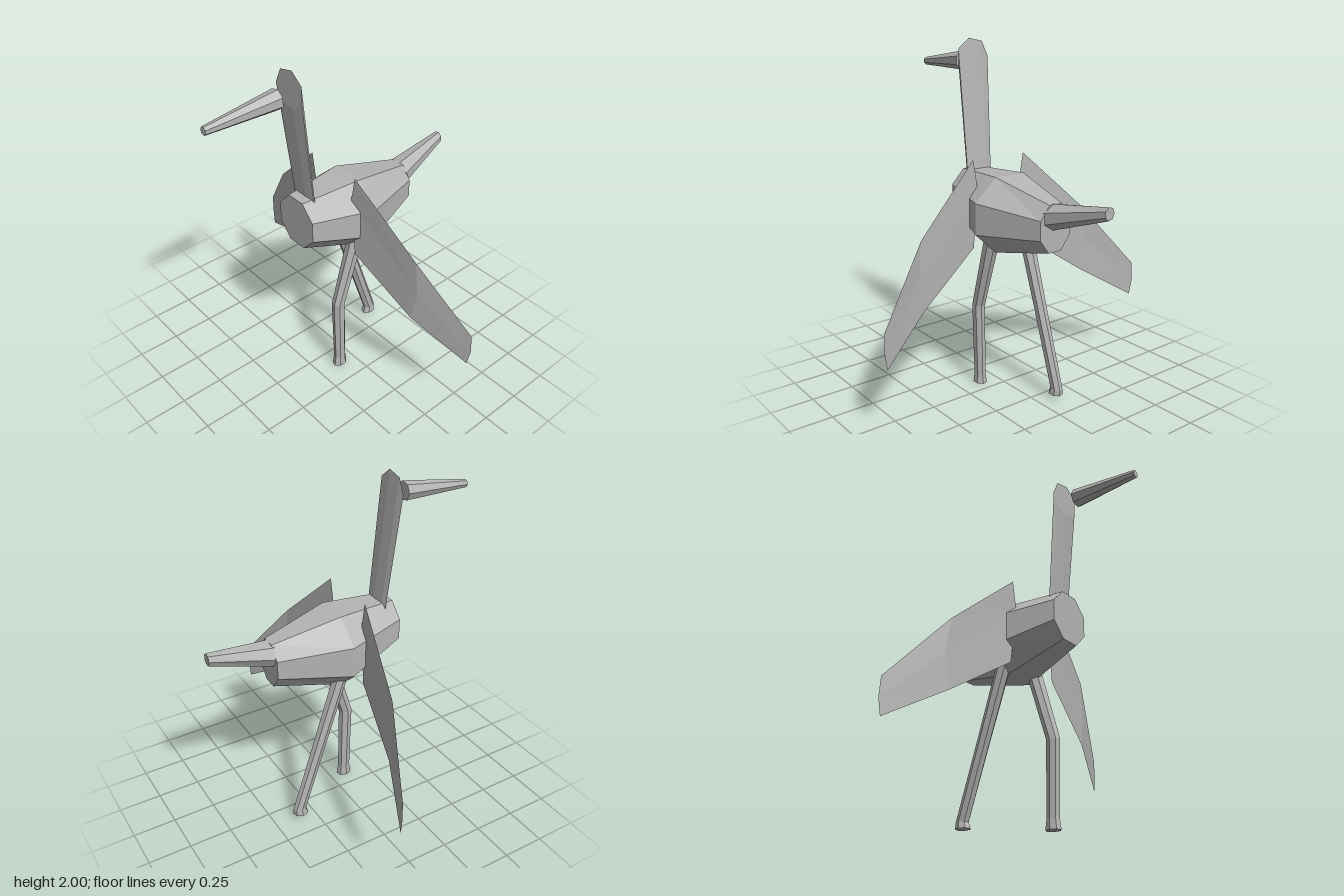
import * as THREE from 'three';

const grey = new THREE.MeshStandardMaterial({ color: 0xb4b4b4, side: THREE.DoubleSide });
grey.name = 'plainGrey';

// Flat-faced geometry from a list of polygons (each fanned into triangles)
function faceted(polygons) {
  const pos = [];
  for (const p of polygons)
    for (let i = 1; i < p.length - 1; i++) pos.push(...p[0], ...p[i], ...p[i + 1]);
  const g = new THREE.BufferGeometry();
  g.setAttribute('position', new THREE.Float32BufferAttribute(pos, 3));
  g.computeVertexNormals();
  return g;
}

// Capped tube through elliptical rings [x, y, z, r1, r2].
// Rings lie across 'z' (back to front) or across 'y' (bottom to top).
function loft(axis, sides, start, rings) {
  const loops = rings.map(([x, y, z, r1, r2 = r1]) =>
    Array.from({ length: sides }, (_, i) => {
      const a = start + (i / sides) * Math.PI * 2;
      const u = r1 * Math.cos(a), v = r2 * Math.sin(a);
      return axis === 'z' ? [x + u, y + v, z] : [x + u, y, z - v];
    }));
  const polys = [[...loops[0]].reverse(), loops[loops.length - 1]];
  for (let k = 0; k < loops.length - 1; k++)
    for (let i = 0; i < sides; i++) {
      const j = (i + 1) % sides;
      polys.push([loops[k][i], loops[k][j], loops[k + 1][j], loops[k + 1][i]]);
    }
  return faceted(polys);
}

export function createModel() {
  const group = new THREE.Group();
  const add = (name, geometry) => {
    const mesh = new THREE.Mesh(geometry, grey);
    mesh.name = name;
    group.add(mesh);
    return mesh;
  };

  // Eight-sided body, widest at the middle; radii given to the flats
  const c = 1 / Math.cos(Math.PI / 8);
  add('body', loft('z', 8, Math.PI / 8, [
    [0.005, 1.06, -0.44, 0.1 * c, 0.13 * c],
    [0, 1.06, -0.05, 0.235 * c, 0.215 * c],
    [0, 1.115, 0.31, 0.138 * c, 0.145 * c],
  ]));

  // Tapering tail
  add('tail', loft('z', 7, Math.PI, [
    [-0.025, 1.21, -0.8, 0.032, 0.036],
    [0.003, 1.12, -0.43, 0.087, 0.074],
  ]));

  // Sheared, very flat neck ending in an upright head disc
  add('neck', loft('z', 7, Math.PI, [
    [0, 1.11, 0.23, 0.084],
    [-0.015, 1.895, 0.31, 0.106],
  ]));

  // Beak, floating just ahead of the head
  add('beak', loft('z', 7, Math.PI, [
    [-0.01, 1.87, 0.39, 0.055],
    [-0.022, 1.84, 0.8, 0.023],
  ]));

  // Legs: the left one bends at the knee, the right one trails back
  add('leftLeg', loft('y', 7, Math.PI, [
    [0.108, 0, 0.097, 0.036, 0.047],
    [0.108, 0.06, 0.096, 0.031, 0.038],
    [0.107, 0.49, 0.105, 0.036, 0.041],
    [0.105, 0.92, -0.025, 0.046, 0.045],
  ]));
  add('rightLeg', loft('y', 7, Math.PI, [
    [-0.11, 0.03, -0.338, 0.037, 0.047],
    [-0.11, 0.065, -0.345, 0.031, 0.04],
    [-0.11, 0.5, -0.2, 0.035, 0.04],
    [-0.11, 0.92, -0.06, 0.042, 0.043],
  ]));

  // Thin drooping wings: three stations from shoulder to tip
  const stations = [
    [[0.175, 1.365, 0.05], [0.145, 1.2, 0.05], [0.18, 0.865, 0.045]],
    [[0.57, 1.0, -0.03], [0.59, 0.8, -0.037], [0.56, 0.605, -0.03]],
    [[0.885, 0.61, -0.168], [0.89, 0.5, -0.17], [0.875, 0.405, -0.165]],
  ];
  for (const [name, side] of [['leftWing', 1], ['rightWing', -1]]) {
    const polys = [];
    for (let k = 0; k < 2; k++)
      for (let i = 0; i < 2; i++) {
        const quad = [stations[k][i], stations[k][i + 1], stations[k + 1][i + 1], stations[k + 1][i]]
          .map(([x, y, z]) => [x * side, y, z]);
        polys.push(side > 0 ? quad : quad.reverse());
      }
    add(name, faceted(polys));
  }

  return group;
}
